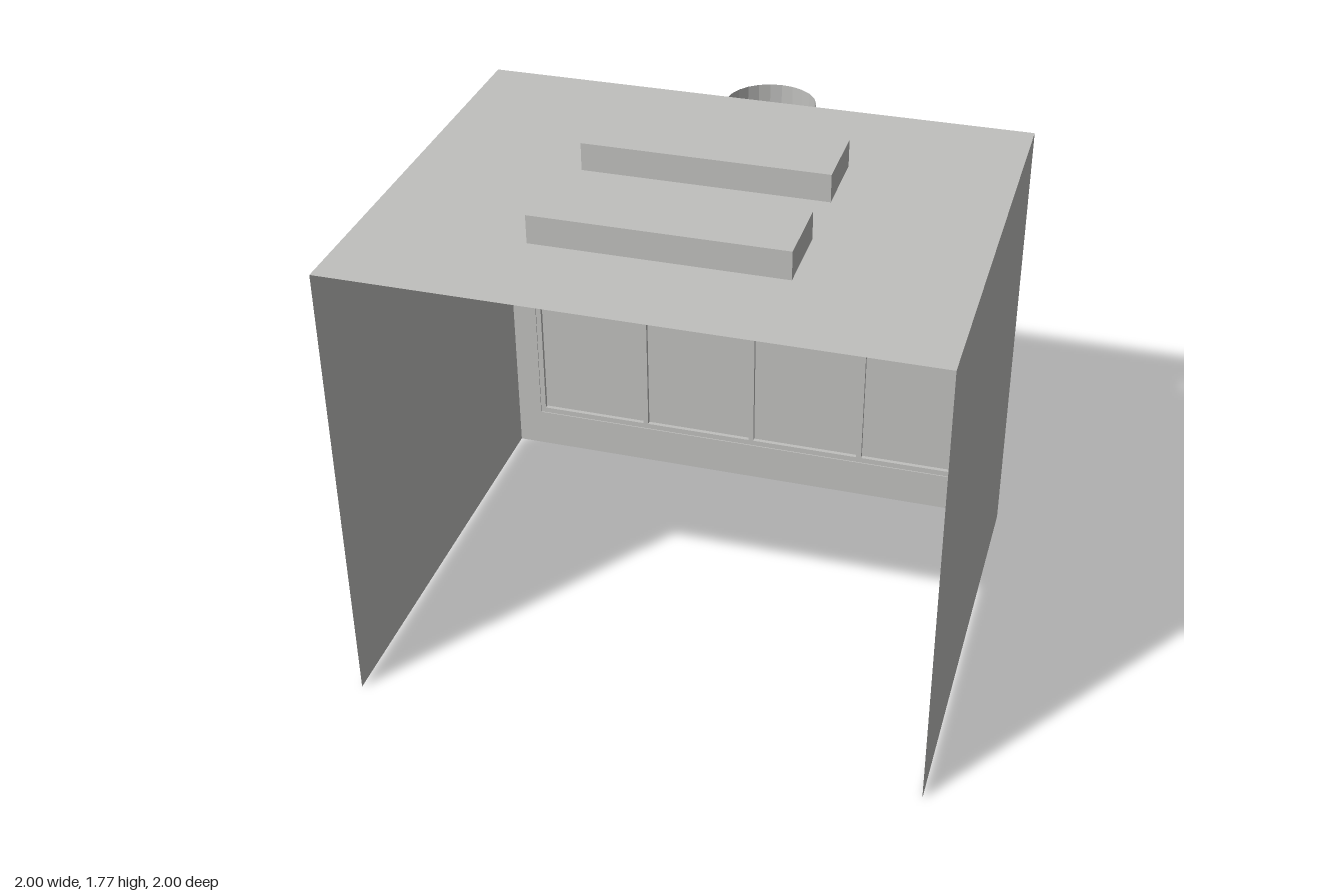
import * as THREE from 'three';

export function createModel() {
  const group = new THREE.Group();
  const grey = new THREE.MeshStandardMaterial({ color: 0xc0c0be, side: THREE.DoubleSide, flatShading: true });
  grey.name = 'sheet metal grey';

  const add = (name, geometry, x, y, z) => {
    const mesh = new THREE.Mesh(geometry, grey);
    mesh.name = name;
    mesh.position.set(x, y, z);
    group.add(mesh);
    return mesh;
  };
  const box = (name, x0, x1, y0, y1, z0, z1) =>
    add(name, new THREE.BoxGeometry(x1 - x0, y1 - y0, z1 - z0), (x0 + x1) / 2, (y0 + y1) / 2, (z0 + z1) / 2);
  const rect = (Type, x0, x1, y0, y1) =>
    new Type([[x0, y0], [x1, y0], [x1, y1], [x0, y1]].map(([x, y]) => new THREE.Vector2(x, y)));

  const H = 1.67, BACK = -0.6, DEPTH = 1.6;

  // Thin sheet shell, open at the front and the bottom
  for (const s of [-1, 1]) {
    add(s > 0 ? 'leftWall' : 'rightWall', new THREE.PlaneGeometry(DEPTH, H), s, H / 2, 0.2).rotation.y = s * Math.PI / 2;
  }
  add('roof', new THREE.PlaneGeometry(2, DEPTH), 0, H, 0.2).rotation.x = -Math.PI / 2;
  add('backWall', new THREE.PlaneGeometry(2, H), 0, H / 2, BACK).rotation.y = Math.PI;

  // Roof housings with flush panels beneath them
  for (const z of [-0.035, 0.495]) {
    box('roofHousing', -0.43, 0.43, H, 1.77, z - 0.135, z + 0.135);
    box('ceilingPanel', -0.415, 0.415, H - 0.006, H - 0.001, z - 0.12, z + 0.12);
  }

  // Exhaust chamber and round outlet collar
  box('exhaustChamber', -0.93, 0.93, 0.13, 1.47, -1, BACK - 0.002);
  add('outletCollar', new THREE.CylinderGeometry(0.168, 0.168, 0.1, 24, 1, true), 0, 1.52, -0.8);

  // Filter bank: backing sheet, outer rim and grid with eight recessed panels
  box('filterPanels', -0.895, 0.895, 0.175, 1.425, BACK + 0.002, -0.58);
  const rim = rect(THREE.Shape, -0.9, 0.9, 0.17, 1.43);
  rim.holes.push(rect(THREE.Path, -0.89, 0.89, 0.18, 1.42));
  add('filterRim', new THREE.ExtrudeGeometry(rim, { depth: 0.04, bevelEnabled: false }), 0, 0, BACK);

  const grid = rect(THREE.Shape, -0.89, 0.89, 0.18, 1.42);
  for (const x of [-0.66, -0.22, 0.22, 0.66]) {
    for (const y of [0.497, 1.106]) {
      grid.holes.push(rect(THREE.Path, x - 0.21, x + 0.21, y - 0.295, y + 0.295));
    }
  }
  add('filterGrid', new THREE.ExtrudeGeometry(grid, { depth: 0.017, bevelEnabled: false }), 0, 0, -0.581);

  return group;
}
